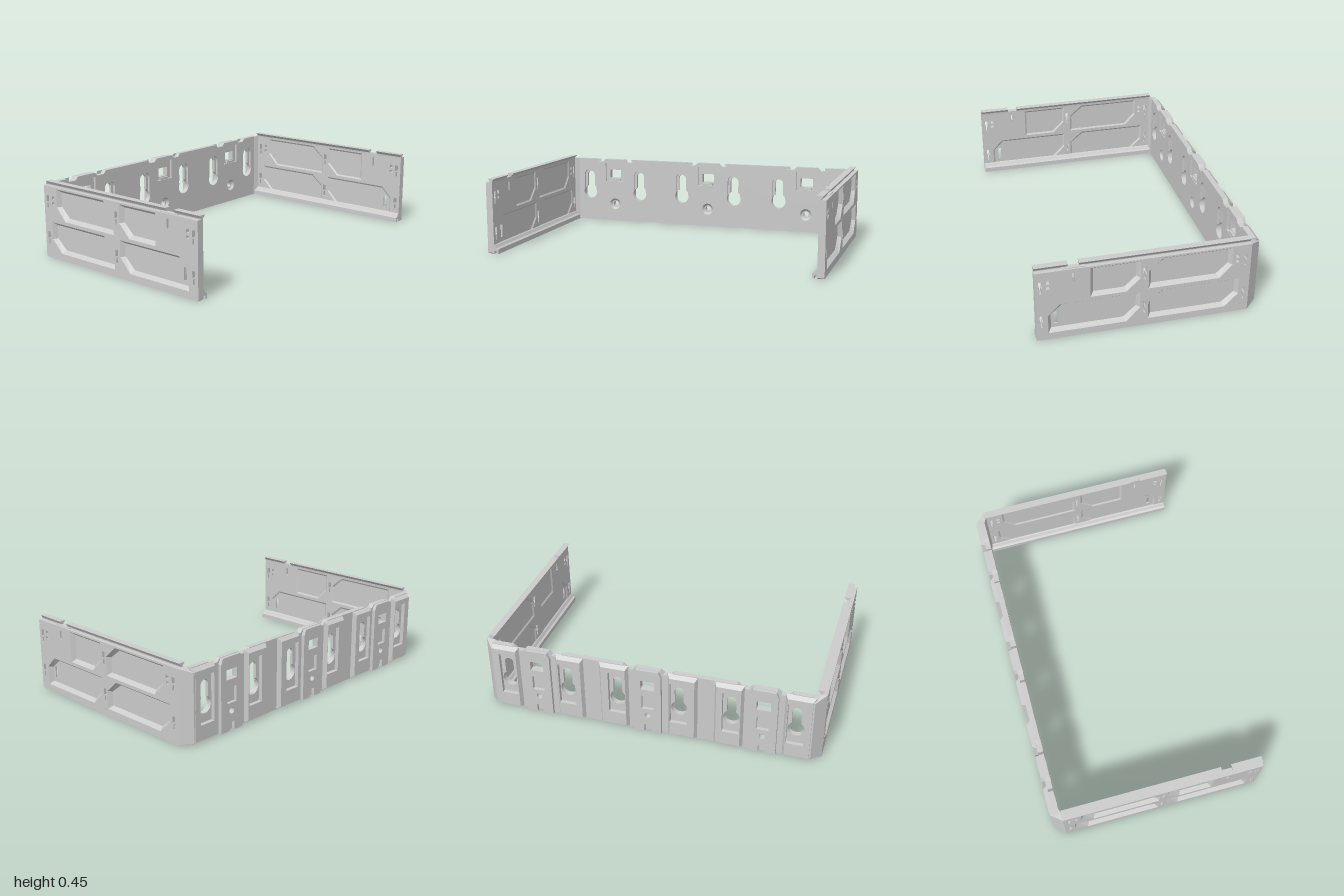
import * as THREE from 'three';

const mat = new THREE.MeshStandardMaterial({ color: 0xcccccc, flatShading: true, side: THREE.DoubleSide });

function add(parent, name, geo) {
  const m = new THREE.Mesh(geo, mat);
  m.name = name;
  parent.add(m);
  return m;
}
const poly = (pts) => new THREE.Shape(pts.map(([x, y]) => new THREE.Vector2(x, y)));
const rect = (x0, y0, x1, y1) => poly([[x0, y0], [x1, y0], [x1, y1], [x0, y1]]);
const circle = (x, y, r) => new THREE.Shape().absarc(x, y, r, 0, Math.PI * 2, false);

// flat layer from depth a to depth b
function slab(shape, holes, a, b) {
  shape.holes = holes;
  const g = new THREE.ExtrudeGeometry(shape, { depth: b - a, bevelEnabled: false, curveSegments: 14 });
  return g.translate(0, 0, a);
}

// move vertices by a rule
function warp(geo, rule) {
  const p = geo.attributes.position, v = new THREE.Vector3();
  for (let i = 0; i < p.count; i++) {
    v.fromBufferAttribute(p, i);
    rule(v);
    p.setXYZ(i, v.x, v.y, v.z);
  }
  geo.computeVertexNormals();
  return geo;
}

// round hole with a slot rising out of it
function keyhole(cx, r, h, top) {
  const a = Math.acos(h / r), s = new THREE.Shape();
  s.absarc(cx, 0.195, r, Math.PI - a, 2 * Math.PI + a, false);
  s.lineTo(cx + h, top - h);
  s.absarc(cx, top - h, h, 0, Math.PI, false);
  s.closePath();
  return s;
}

// sloped rim between an outline at depth a and its inset copy at depth b
function slopedRim(pts, d, a, b) {
  const xs = pts.map((p) => p[0]), ys = pts.map((p) => p[1]);
  const x0 = Math.min(...xs), x1 = Math.max(...xs), y0 = Math.min(...ys), y1 = Math.max(...ys);
  const inset = ([x, y]) => [
    (x0 + x1) / 2 + (x - (x0 + x1) / 2) * (1 - 2 * d / (x1 - x0)),
    (y0 + y1) / 2 + (y - (y0 + y1) / 2) * (1 - 2 * d / (y1 - y0))];
  const pos = [];
  pts.forEach((p, i) => {
    const q = pts[(i + 1) % pts.length], pi = inset(p), qi = inset(q);
    pos.push(...p, a, ...pi, b, ...qi, b, ...p, a, ...qi, b, ...q, a);
  });
  const g = new THREE.BufferGeometry();
  g.setAttribute('position', new THREE.Float32BufferAttribute(pos, 3));
  g.computeVertexNormals();
  return g;
}

function buildSide() {
  const side = new THREE.Group();
  // drawn flat: x runs to the back, depth runs outward
  const wall = new THREE.Group();
  wall.name = 'sideWall';
  wall.rotation.y = Math.PI / 2;
  side.add(wall);

  const panels = [
    [[-0.555, 0.04], [-0.13, 0.04], [-0.055, 0.12], [-0.055, 0.215], [-0.49, 0.215], [-0.555, 0.15]],
    [[-0.01, 0.04], [0.425, 0.04], [0.5, 0.115], [0.5, 0.215], [0.07, 0.215], [-0.01, 0.145]],
    [[-0.325, 0.235], [-0.13, 0.235], [-0.055, 0.31], [-0.055, 0.415], [-0.325, 0.415]],
    [[-0.01, 0.235], [0.385, 0.235], [0.455, 0.31], [0.455, 0.415], [0.07, 0.415], [-0.01, 0.345]],
  ];
  // stepped hook slots, small windows
  const slots = () => {
    const list = [];
    for (const u of [-0.59, -0.03, 0.53]) for (const y of [0.08, 0.295]) {
      list.push(poly([[u - 0.005, y], [u + 0.005, y], [u + 0.005, y + 0.03], [u + 0.01, y + 0.037],
        [u + 0.01, y + 0.075], [u - 0.01, y + 0.075], [u - 0.01, y + 0.037], [u - 0.005, y + 0.03]]));
    }
    for (const u of [-0.55, 0.485]) {
      list.push(rect(u - 0.01, 0.32, u + 0.01, 0.335), rect(u - 0.01, 0.35, u + 0.01, 0.37));
    }
    list.push(poly([[-0.42, 0.355], [-0.407, 0.342], [-0.407, 0.4], [-0.42, 0.4]]));
    return list;
  };
  const outline = () => poly([[-0.615, 0], [0.56, 0], [0.56, 0.425], [-0.62, 0.425], [-0.62, 0.005]]);
  const cut = () => panels.map(poly);
  add(wall, 'outerFrame', slab(outline(), [...slots(), ...cut()], 0.976, 1));
  add(wall, 'panelWeb', slab(outline(), [...slots(), rect(-0.52, 0.08, -0.5, 0.155)], 0.967, 0.976));
  add(wall, 'innerFrame', slab(outline(), [...slots(), ...cut()], 0.96, 0.967));
  panels.forEach((p) => {
    add(wall, 'outerPanelRim', slopedRim(p, 0.018, 1, 0.9762));
    add(wall, 'innerPanelRim', slopedRim(p, 0.01, 0.96, 0.9668));
  });

  // flared rail on the top edge, in two lengths
  for (const [z0, z1] of [[-0.56, 0.38], [0.44, 0.62]]) {
    add(side, 'topRail', slab(poly([[0.96, 0.42], [0.973, 0.42], [0.974, 0.43], [0.985, 0.447],
      [0.945, 0.447], [0.959, 0.43]]), [], z0, z1));
  }
  const latch = add(side, 'railLatch', new THREE.BoxGeometry(0.03, 0.02, 0.12));
  latch.position.set(0.975, 0.418, 0.41);

  // grooved foot along the inside bottom edge
  add(side, 'footRail', slab(poly([[0.962, 0.055], [0.955, 0.05], [0.945, 0.035], [0.932, 0.028],
    [0.932, 0], [0.944, 0], [0.944, 0.018], [0.962, 0.018]]), [], -0.565, 0.62));

  // slanted back corner with clipped tips
  const corner = slab(poly([[1, 0.56], [0.945, 0.623], [0.93, 0.623], [0.93, 0.57], [0.96, 0.555]]), [], 0, 0.425);
  corner.rotateX(-Math.PI / 2);
  add(side, 'backCorner', warp(corner, (v) => {
    if (v.z < -0.6) v.y = THREE.MathUtils.clamp(v.y, 0.02, 0.402);
  }));
  return side;
}

function buildBack() {
  const back = new THREE.Group();
  back.name = 'backPlate';
  const keys = [-0.85, -0.485, -0.182, 0.182, 0.485, 0.85];
  const units = [-0.667, 0, 0.667];

  // plate outline with raised lengths on the top edge
  const outline = () => {
    const pts = [[-0.945, 0], [0.945, 0], [0.945, 0.425]];
    const raised = [[0.82, 0.96], [0.6, 0.735], [0.15, 0.51], [-0.07, 0.07], [-0.51, -0.15], [-0.735, -0.6], [-0.96, -0.82]];
    raised.forEach(([a, b], i) => {
      if (i > 0) pts.push([b + 0.02, 0.405], [b, 0.425]);
      if (i < raised.length - 1) pts.push([a, 0.425], [a - 0.02, 0.405]);
      else pts.push([a, 0.425], [-0.945, 0.425]);
    });
    return poly(pts);
  };
  const windowAt = (x) => rect(x - 0.04, 0.295, x + 0.04, 0.352);
  add(back, 'frontLayer', slab(outline(), [
    ...keys.map((x) => keyhole(x, 0.047, 0.043, 0.352)),
    ...units.map((x) => rect(x - 0.068, 0.275, x + 0.068, 0.398)),
    ...units.map((x) => circle(x, 0.115, 0.038))], -0.585, -0.57));
  add(back, 'rearLayer', slab(outline(), [
    ...keys.map((x) => keyhole(x, 0.047, 0.026, 0.337)),
    ...units.map(windowAt),
    ...units.map((x) => circle(x, 0.115, 0.018))], -0.602, -0.585));

  // raised rear pads around the keyholes, sloped at their edges
  const pads = [[0.115, 0.29, 0.182], [0.385, 0.555, 0.485], [0.78, 0.95, 0.85]];
  for (const s of [-1, 1]) for (const [a, b, k] of pads) {
    const x0 = Math.min(s * a, s * b), x1 = Math.max(s * a, s * b), kx = s * k;
    const g = slab(rect(x0, 0.002, x1, 0.423), [rect(kx - 0.05, 0.1, kx + 0.05, 0.37)], -0.625, -0.6);
    add(back, 'rearPad', warp(g, (v) => {
      if (v.z > -0.61) return;
      if (v.x < x0 + 0.01) v.x += 0.015;
      if (v.x > x1 - 0.01) v.x -= 0.015;
      if (v.y > 0.41) v.y -= 0.02;
      if (v.y < 0.09) v.y += 0.015;
    }));
  }

  for (const x of units) {
    // rear rib with window, square hollow and screw hole
    add(back, 'clipRib', slab(poly([[x - 0.08, 0], [x - 0.02, 0], [x - 0.02, 0.05], [x + 0.02, 0.05], [x + 0.02, 0],
      [x + 0.08, 0], [x + 0.08, 0.39], [x + 0.065, 0.423], [x - 0.065, 0.423], [x - 0.08, 0.39]]),
    [windowAt(x), rect(x - 0.035, 0.16, x + 0.035, 0.25), circle(x, 0.115, 0.018)], -0.622, -0.6));
    const clip = add(back, 'clipTongue', new THREE.BoxGeometry(0.07, 0.014, 0.014));
    clip.position.set(x, 0.283, -0.579);
    // countersunk screw seat
    const seat = add(back, 'screwSeat', new THREE.LatheGeometry(
      [new THREE.Vector2(0.018, -0.016), new THREE.Vector2(0.026, -0.014), new THREE.Vector2(0.038, 0)], 28));
    seat.rotation.x = Math.PI / 2;
    seat.position.set(x, 0.115, -0.57);
  }
  return back;
}

export function createModel() {
  const model = new THREE.Group();
  model.name = 'mountingBracket';
  model.add(buildBack());
  for (const s of [1, -1]) {
    const side = buildSide();
    side.name = s > 0 ? 'leftArm' : 'rightArm';
    side.scale.x = s;
    model.add(side);
  }
  return model;
}
